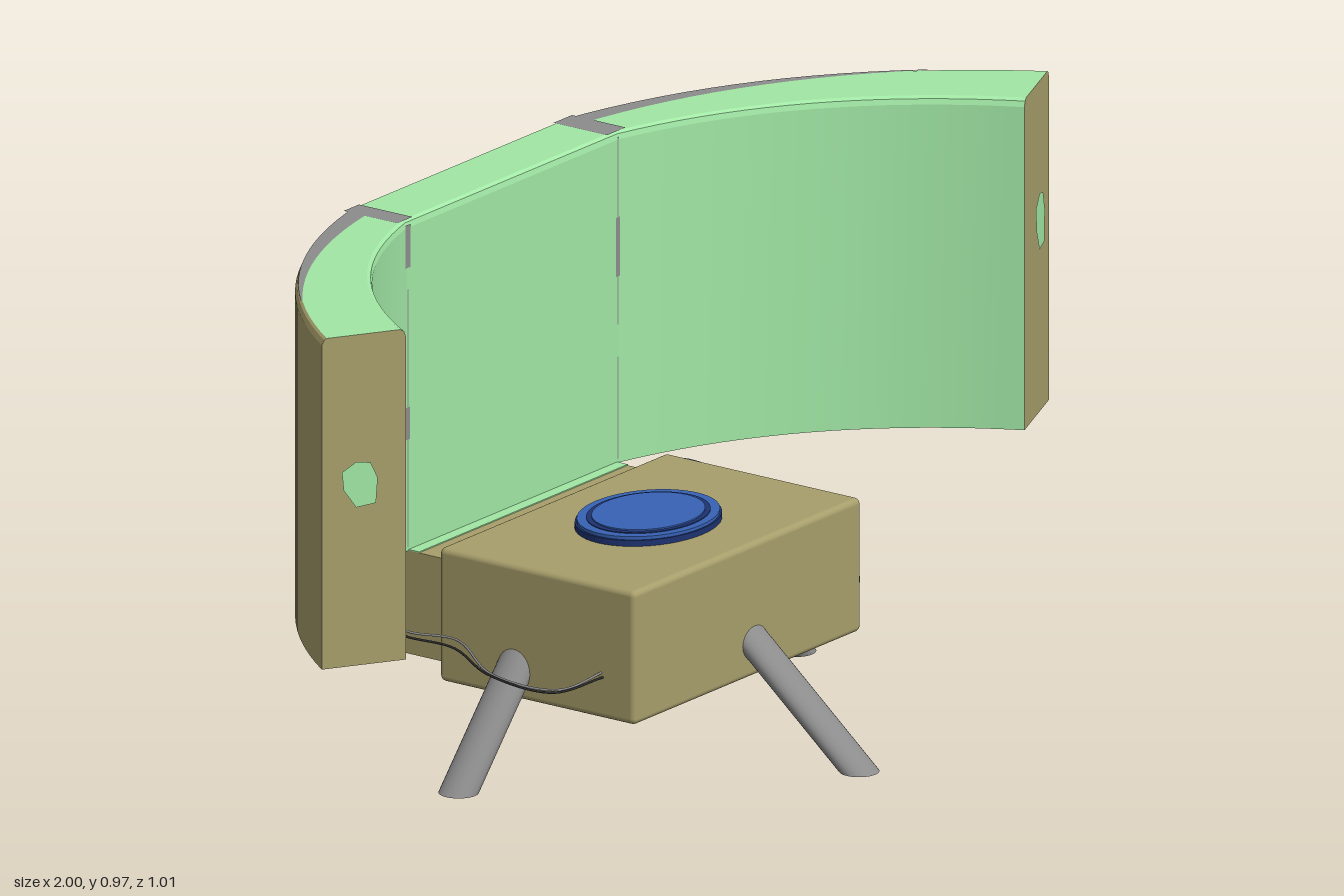
import * as THREE from 'three';
import { toCreasedNormals } from 'three/addons/utils/BufferGeometryUtils.js';
import { RoundedBoxGeometry } from 'three/addons/geometries/RoundedBoxGeometry.js';

const V = (x, y, z) => new THREE.Vector3(x, y, z);
const mat = (name, color, side = THREE.FrontSide) => {
  const m = new THREE.MeshStandardMaterial({ color, side });
  m.name = name;
  return m;
};

// Plan curve from a to b ([x, z] pairs), bulging backwards by sag
function arc(a, b, sag, n = 18) {
  const dx = b[0] - a[0], dz = b[1] - a[1], len = Math.hypot(dx, dz);
  return Array.from({ length: n + 1 }, (_, i) => {
    const t = i / n, s = sag * 4 * t * (1 - t) / len;
    return [a[0] + dx * t + dz * s, a[1] + dz * t - dx * s];
  });
}

// Cross-section points: t runs from the outer (0) to the inner (1) plan curve
const sectionPoints = ([o, n], profile) =>
  profile.map(([t, y]) => V(o[0] + (n[0] - o[0]) * t, y, o[1] + (n[1] - o[1]) * t));

function geometryFrom(points, index) {
  const g = new THREE.BufferGeometry().setFromPoints(points);
  g.setIndex(index);
  g.computeVertexNormals();
  return g;
}

// Skin joining the cross-sections along the stations
function loft(stations, profileAt) {
  const rows = stations.map((s, i) => sectionPoints(s, profileAt(i / (stations.length - 1))));
  const m = rows[0].length, index = [];
  for (let i = 0; i < rows.length - 1; i++)
    for (let j = 0; j < m - 1; j++) {
      const a = i * m + j, b = a + 1, c = a + m, d = c + 1;
      index.push(a, b, c, b, d, c);
    }
  return toCreasedNormals(geometryFrom(rows.flat(), index), 0.1);
}

// Flat end closing a cross-section
function endCap(station, profile, flip) {
  const p = sectionPoints(station, profile), index = [];
  for (let j = 1; j < p.length - 1; j++) index.push(0, flip ? j + 1 : j, flip ? j : j + 1);
  return geometryFrom(p, index);
}

export function createModel() {
  const root = new THREE.Group();
  root.name = 'curvedScreenOnStand';
  const tan = mat('tan', 0xa79e6b);
  const green = mat('green', 0xa6eeaa, THREE.DoubleSide);
  const grey = mat('grey', 0x8c8c8c, THREE.DoubleSide);
  const blue = mat('blue', 0x3762b4);
  const navy = mat('navy', 0x1d3270);
  const dark = mat('dark', 0x2a2a2c);
  const red = mat('red', 0x8a4a42);
  const add = (name, geometry, material, x = 0, y = 0, z = 0) => {
    const mesh = new THREE.Mesh(geometry, material);
    mesh.name = name;
    mesh.position.set(x, y, z);
    root.add(mesh);
    return mesh;
  };
  // Box given by its extents
  const block = (name, material, x0, x1, y0, y1, z0, z1, r = 0) => {
    const s = [x1 - x0, y1 - y0, z1 - z0];
    add(name, r ? new RoundedBoxGeometry(...s, 3, r) : new THREE.BoxGeometry(...s),
      material, (x0 + x1) / 2, (y0 + y1) / 2, (z0 + z1) / 2);
  };

  // Curved screen: two bowed wings and a straight middle
  const y0 = 0.352, y1 = 0.968;
  const pair = (o, n) => o.map((p, i) => [p, n[i]]);
  const left = pair(arc([-1, 0], [-0.36, -0.405], 0.073), arc([-0.865, 0.085], [-0.372, -0.28], 0.06));
  const right = pair(arc([0.25, -0.405], [0.998, 0.12], 0.102), arc([0.258, -0.28], [0.834, 0.188], 0.082));
  const wall = [...left, ...right];
  const back = [[0, y0], [0, y1 - 0.012], [0.03, y1 - 0.003], [0.06, y1]];
  const cover = [[0.06, y1], [0.93, y1], [0.98, y1 - 0.004], [1, y1 - 0.014], [1, y0]];
  add('screenBack', loft(wall, () => back), tan);
  add('screenFace', loft(wall, () => cover), green);
  add('screenUnderside', loft(wall, () => [[1, y0], [0, y0]]), tan);
  add('screenEnd', endCap(wall[0], [...back, ...cover.slice(1)], true), tan);
  add('screenEnd', endCap(wall[wall.length - 1], [...back, ...cover.slice(1)], false), tan);

  // Worn grey patches along the top edge, and seams between the panels
  const ribbon = (width) => (t) => [[0.04, y1 + 0.0008], [0.06 + width(t), y1 + 0.0008]];
  add('wornEdge', loft(left.slice(5), ribbon((t) => 0.3 * t)), grey);
  add('wornEdge', loft(right.slice(0, 15), ribbon((t) => 0.3 * (1 - t))), grey);
  for (const [x, w, seamX, pieces] of [
    [-0.372, 0.045, -0.369, [[0.36, 0.56, 0.003], [0.56, 0.62, 0.013], [0.62, 0.84, 0.003], [0.88, 0.96, 0.014]]],
    [0.256, 0.055, 0.255, [[0.36, 0.55, 0.003], [0.61, 0.7, 0.003], [0.7, 0.81, 0.013], [0.81, 0.96, 0.004]]],
  ]) {
    const top = add('topSeam', new THREE.PlaneGeometry(w, 0.118), grey, x, y1 + 0.001, -0.342);
    top.rotation.x = -Math.PI / 2;
    for (const [a, b, width] of pieces)
      add('faceSeam', new THREE.PlaneGeometry(width, b - a), grey, seamX, (a + b) / 2, -0.2785);
  }

  // Irregular green spots on the screen ends
  const spot = (x, y, z, turn, w, h) => {
    const outline = [[-0.5, 0.3], [-0.45, -0.1], [-0.1, -0.5], [0.45, -0.45], [0.5, 0.1], [0.3, 0.45], [-0.1, 0.5]];
    const shape = new THREE.Shape(outline.map(([u, v]) => new THREE.Vector2(u * w, v * h)));
    const s = add('endSpot', new THREE.ShapeGeometry(shape), green, x, y, z);
    s.rotation.y = turn;
  };
  spot(-0.9415, 0.69, 0.0405, -0.56, 0.068, 0.085);
  spot(0.931, 0.71, 0.151, 0.399, 0.066, 0.105);

  // Base housing with its green rear face, and the rear block under the screen
  block('baseHousing', tan, -0.39, 0.285, 0.132, 0.381, -0.195, 0.237, 0.011);
  block('housingRearFace', green, -0.379, 0.274, 0.143, 0.37, -0.1965, -0.19);
  block('rearBlock', tan, -0.365, 0.255, 0.16, y0, -0.405, -0.19);
  block('faceFoot', green, -0.365, 0.255, y0 - 0.003, y0 + 0.002, -0.285, -0.257);

  // Oval pad on the housing
  const oval = (name, r, h, y, material) =>
    add(name, new THREE.CylinderGeometry(r, r, h, 48), material, -0.053, y, 0.017).scale.z = 0.8;
  oval('padShadowRing', 0.149, 0.012, 0.386, navy);
  oval('padRim', 0.145, 0.016, 0.39, blue);
  oval('padGroove', 0.126, 0.002, 0.3985, navy);
  oval('padTop', 0.115, 0.005, 0.3995, blue);

  // Slanted legs with level feet: upright cylinders sheared with height
  const leg = (name, x, z, leanX, leanZ) => {
    const h = 0.24, g = new THREE.CylinderGeometry(0.036, 0.036, h, 28);
    g.translate(0, h / 2, 0);
    g.applyMatrix4(new THREE.Matrix4().set(1, leanX, 0, 0, 0, 1, 0, 0, 0, leanZ, 1, 0, 0, 0, 0, 1));
    g.computeVertexNormals();
    add(name, g, grey, x, 0, z);
  };
  leg('frontLeg', -0.033, 0.467, 0, -1.18);
  leg('rightLeg', -0.553, -0.03, 0.89, 0);
  leg('leftLeg', 0.449, -0.03, -0.88, 0);

  // Cables: each strand follows a path with a small offset
  const cable = (name, path, r, material, off = [0, 0, 0], wobble = 0) => {
    const pts = path.map(([x, y, z], i) =>
      V(x + off[0] + wobble * Math.sin(i * 2.1), y + off[1] + wobble * Math.cos(i * 2.1), z + off[2]));
    add(name, new THREE.TubeGeometry(new THREE.CatmullRomCurve3(pts), 60, r, 8), material);
  };
  const thick = [[0.28, 0.16, 0.165], [0.37, 0.195, 0.15], [0.405, 0.215, 0.08], [0.38, 0.27, -0.04],
    [0.36, 0.33, -0.13], [0.345, 0.342, -0.22], [0.315, 0.3, -0.315]];
  cable('blueCable', thick, 0.008, blue);
  cable('blueCable', thick, 0.007, blue, [0.007, -0.006, 0.004], 0.004);
  cable('darkCable', thick, 0.003, dark, [0.006, -0.009, 0], 0.008);
  cable('darkCable', thick, 0.003, dark, [-0.008, 0.004, 0], 0.006);
  cable('redCable', thick, 0.0025, red, [-0.004, 0.003, 0.004], 0.007);

  const loop = [[0.28, 0.24, -0.06], [0.38, 0.2, -0.12], [0.42, 0.162, -0.21], [0.33, 0.165, -0.35],
    [0.24, 0.185, -0.475], [0.17, 0.195, -0.505], [0.14, 0.202, -0.48], [0.14, 0.203, -0.4]];
  cable('darkCable', loop, 0.0022, dark);
  cable('greyCable', loop, 0.0022, grey, [0, 0.004, 0], 0.002);

  const side = [[-0.385, 0.21, 0.168], [-0.49, 0.2, 0.13], [-0.505, 0.212, 0], [-0.475, 0.235, -0.1],
    [-0.51, 0.255, -0.2], [-0.46, 0.29, -0.25], [-0.36, 0.29, -0.3]];
  cable('darkCable', side, 0.0022, dark);
  cable('greyCable', side, 0.0022, grey, [0.012, 0.004, 0], 0.007);
  return root;
}
